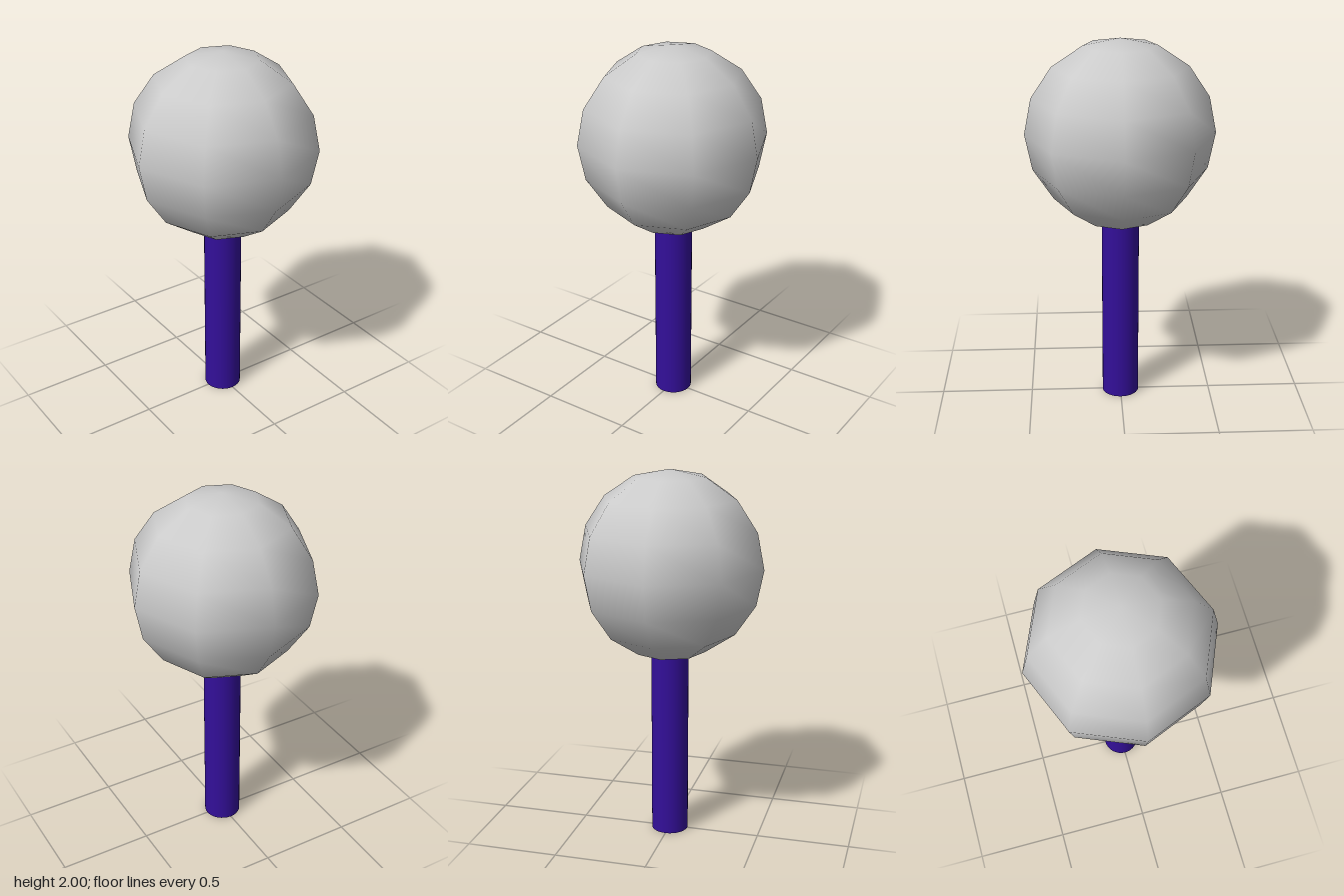
import * as THREE from 'three';

export function createModel() {
  const model = new THREE.Group();

  const add = (name, geometry, color, y) => {
    const mesh = new THREE.Mesh(geometry, new THREE.MeshStandardMaterial({ color }));
    mesh.name = name;
    mesh.position.y = y;
    model.add(mesh);
  };

  // Coarse eight-sided ball with smooth shading
  add('ball', new THREE.SphereGeometry(0.5, 8, 8), 0xcccccc, 1.5);

  // Round stick, its top end sunk into the ball
  const stickHeight = 1.05;
  add('stick', new THREE.CylinderGeometry(0.1, 0.1, stickHeight, 32), 0x330f99, stickHeight / 2);

  return model;
}
